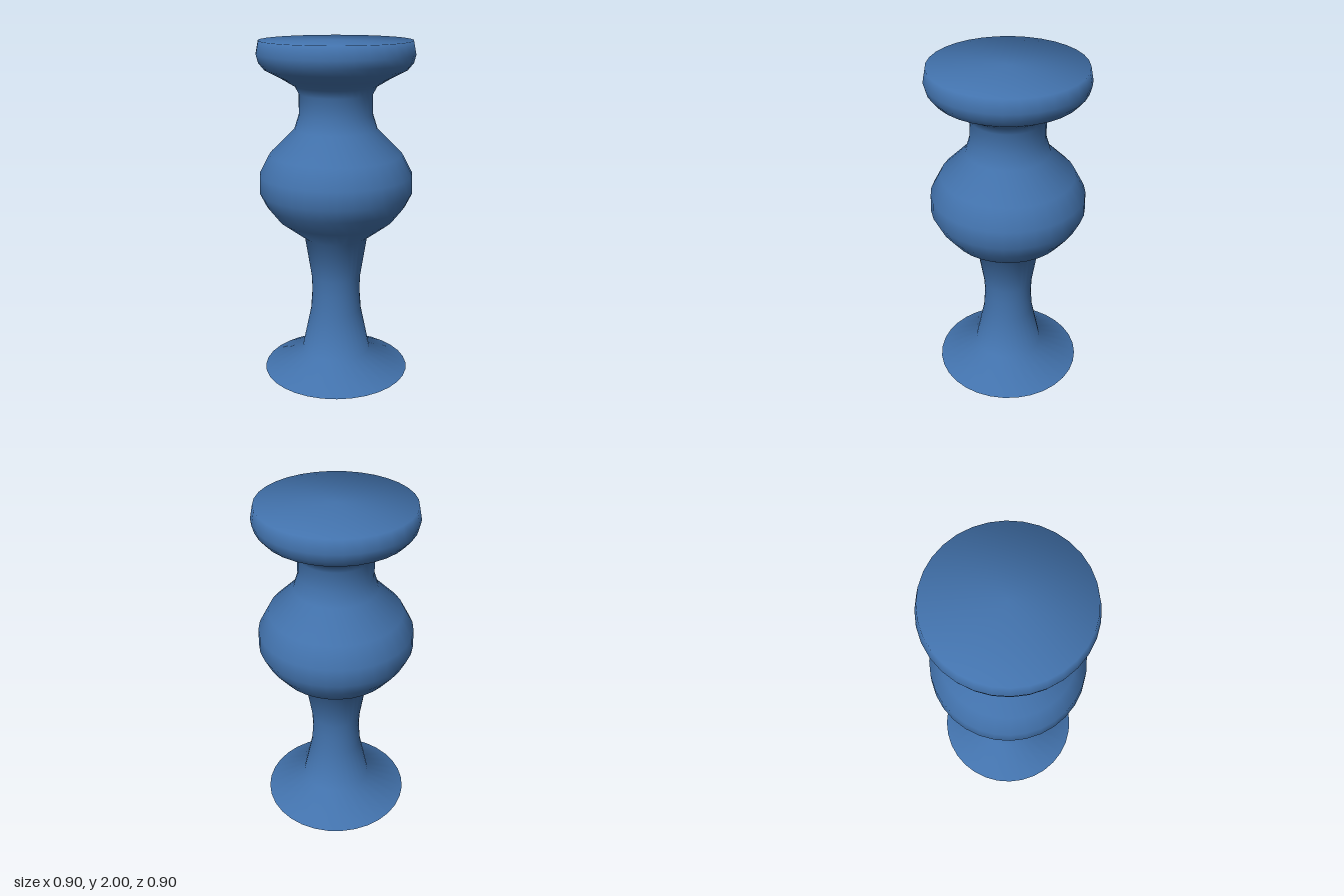
import * as THREE from 'three';

const SEGMENTS = 32;

// Half profile [radius, height], from the open foot up to the centre of the top
const PROFILE = [
  [0.44, 0], [0.208, 0.122],                                                // flared foot
  [0.153, 0.385], [0.144, 0.51], [0.148, 0.6], [0.188, 0.85],               // waisted stem
  [0.34, 0.965], [0.41, 1.055], [0.449, 1.135], [0.446, 1.24],              // round bulb
  [0.385, 1.355], [0.24, 1.5],
  [0.213, 1.585], [0.212, 1.70], [0.235, 1.745],                            // neck
  [0.31, 1.79], [0.405, 1.84], [0.438, 1.88], [0.45, 1.925], [0.435, 2.0],  // flared head
  [0, 2.0],                                                                 // flat top
].map(([r, y]) => new THREE.Vector2(r, y));

// Normal at each profile point: even average of its two neighbouring segments
function profileNormals(points) {
  const seg = points.slice(1).map((p, i) =>
    new THREE.Vector2(p.y - points[i].y, points[i].x - p.x).normalize());
  return points.map((_, i) => {
    const n = new THREE.Vector2();
    if (i > 0) n.add(seg[i - 1]);
    if (i < seg.length) n.add(seg[i]);
    return n.normalize();
  });
}

export function createModel() {
  const group = new THREE.Group();
  group.name = 'turnedPedestal';

  const blue = new THREE.MeshStandardMaterial({ color: 0x4272ac, side: THREE.DoubleSide });
  blue.name = 'blue';

  const geometry = new THREE.LatheGeometry(PROFILE, SEGMENTS);

  // Soft shading all over, including across the top rim
  const soft = profileNormals(PROFILE);
  const normals = geometry.attributes.normal;
  for (let s = 0; s <= SEGMENTS; s++) {
    const a = (s / SEGMENTS) * Math.PI * 2;
    soft.forEach((n, j) =>
      normals.setXYZ(s * PROFILE.length + j, n.x * Math.sin(a), n.y, n.x * Math.cos(a)));
  }

  const body = new THREE.Mesh(geometry, blue);
  body.name = 'turnedBody';
  group.add(body);
  return group;
}
